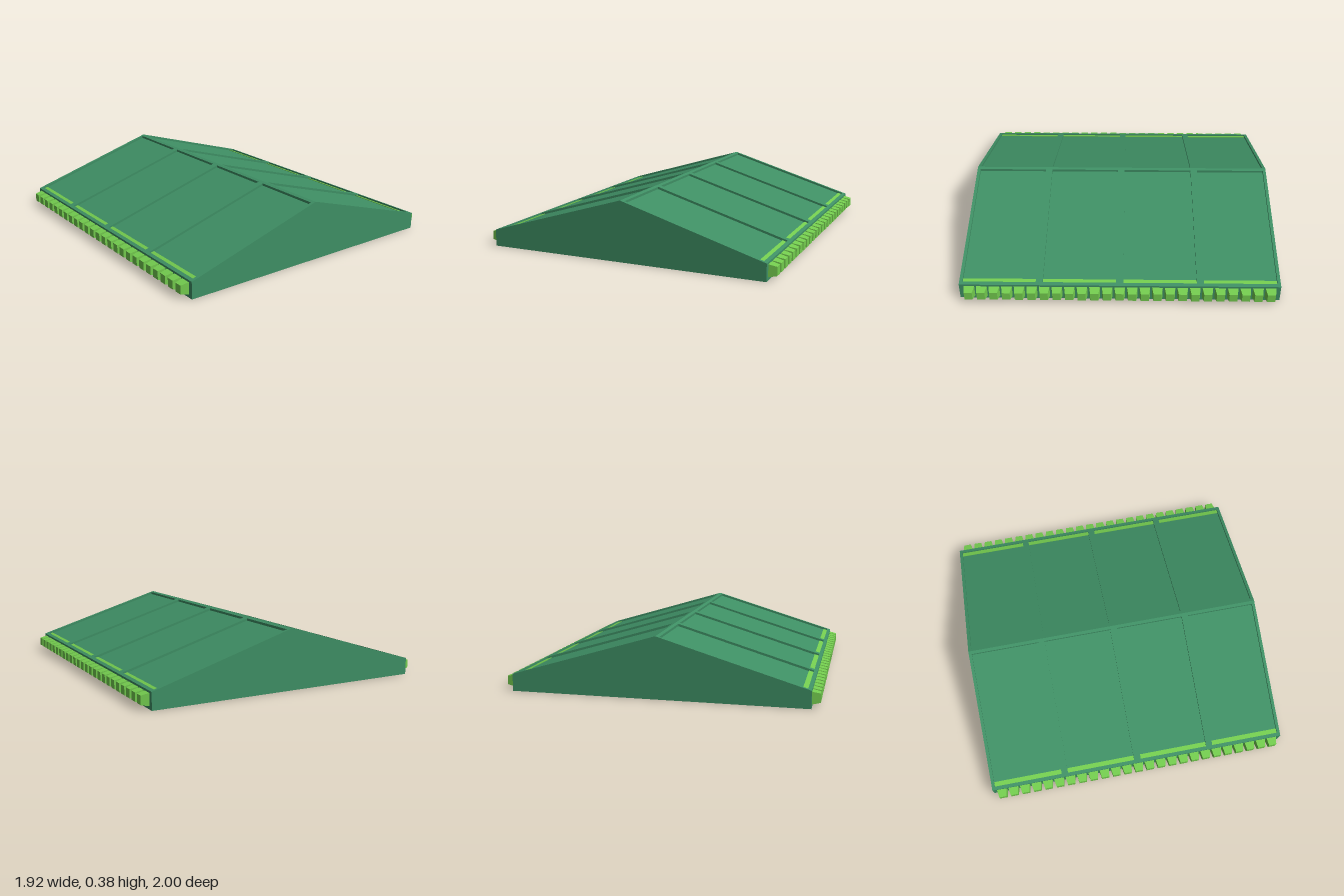
import * as THREE from 'three';

const W = 0.91, EAVE = 0.107, RIDGE = 0.38, DEPTH = 0.015;
const SLOPE = (RIDGE - EAVE) / W;
const PANEL_X0 = 0.02, PANEL_X1 = 0.888;
const PANELS = [[-0.98, -0.523], [-0.48, -0.023], [0.023, 0.48], [0.523, 0.98]];
const TEETH = 25;

const green = new THREE.MeshStandardMaterial({ name: 'roofGreen', color: 0x3f9065, flatShading: true });
const lime = new THREE.MeshStandardMaterial({ name: 'limeTrim', color: 0x74cd4f, flatShading: true });

function rectangle(target, x0, x1, y0, y1) {
  target.moveTo(x0, y0);
  target.lineTo(x1, y0);
  target.lineTo(x1, y1);
  target.lineTo(x0, y1);
  target.closePath();
  return target;
}

// Lays a flat sheet along the right-hand roof pitch
function pitch(geometry, offset) {
  const p = geometry.attributes.position;
  for (let i = 0; i < p.count; i++) {
    p.setY(i, p.getY(i) + RIDGE - SLOPE * p.getX(i) + offset);
  }
  geometry.computeVertexNormals();
  return geometry;
}

function add(parent, name, geometry, material) {
  const mesh = new THREE.Mesh(geometry, material);
  mesh.name = name;
  parent.add(mesh);
  return mesh;
}

// Frustum with its wide face at x = 0 and its narrow face outward
function toothGeometry() {
  const g = new THREE.BoxGeometry(0.05, 0.075, 0.066);
  const p = g.attributes.position;
  for (let i = 0; i < p.count; i++) {
    if (p.getX(i) > 0) {
      p.setY(i, p.getY(i) * 0.72);
      p.setZ(i, p.getZ(i) * 0.76);
    }
  }
  g.translate(0.025, 0, 0);
  g.computeVertexNormals();
  return g;
}

function buildSide() {
  const side = new THREE.Group();

  // Raised frame around the four sunken panels
  const outline = rectangle(new THREE.Shape(), 0, W, -1, 1);
  for (const [z0, z1] of PANELS) {
    outline.holes.push(rectangle(new THREE.Path(), PANEL_X0, PANEL_X1, z0, z1));
  }
  const frame = new THREE.ExtrudeGeometry(outline, { depth: DEPTH, bevelEnabled: false });
  frame.rotateX(-Math.PI / 2);
  add(side, 'roofFrame', pitch(frame, -DEPTH), green);

  // Bright strip along the low end of each panel
  for (const [z0, z1] of PANELS) {
    const strip = new THREE.BoxGeometry(0.03, 0.004, z1 - z0);
    strip.translate(0.872, 0.002, (z0 + z1) / 2);
    add(side, 'panelStrip', pitch(strip, -DEPTH), lime);
  }

  // Row of tapered blocks under the eave
  const tooth = toothGeometry();
  for (let i = 0; i < TEETH; i++) {
    const z = -0.938 + (1.876 * i) / (TEETH - 1);
    add(side, 'eaveBlock', tooth, lime).position.set(W, 0.057, z);
  }
  return side;
}

export function createModel() {
  const model = new THREE.Group();
  model.name = 'gableRoof';

  // Solid gabled body, whose slopes form the panel floors
  const gable = new THREE.Shape();
  gable.moveTo(-W, 0);
  gable.lineTo(W, 0);
  gable.lineTo(W, EAVE - DEPTH);
  gable.lineTo(0, RIDGE - DEPTH);
  gable.lineTo(-W, EAVE - DEPTH);
  gable.closePath();
  const body = new THREE.ExtrudeGeometry(gable, { depth: 2, bevelEnabled: false });
  body.translate(0, 0, -1);
  add(model, 'roofBody', body, green);

  // The two pitches are half-turn copies
  const left = buildSide();
  left.name = 'leftPitch';
  const right = buildSide();
  right.name = 'rightPitch';
  right.rotation.y = Math.PI;
  model.add(left, right);
  return model;
}
